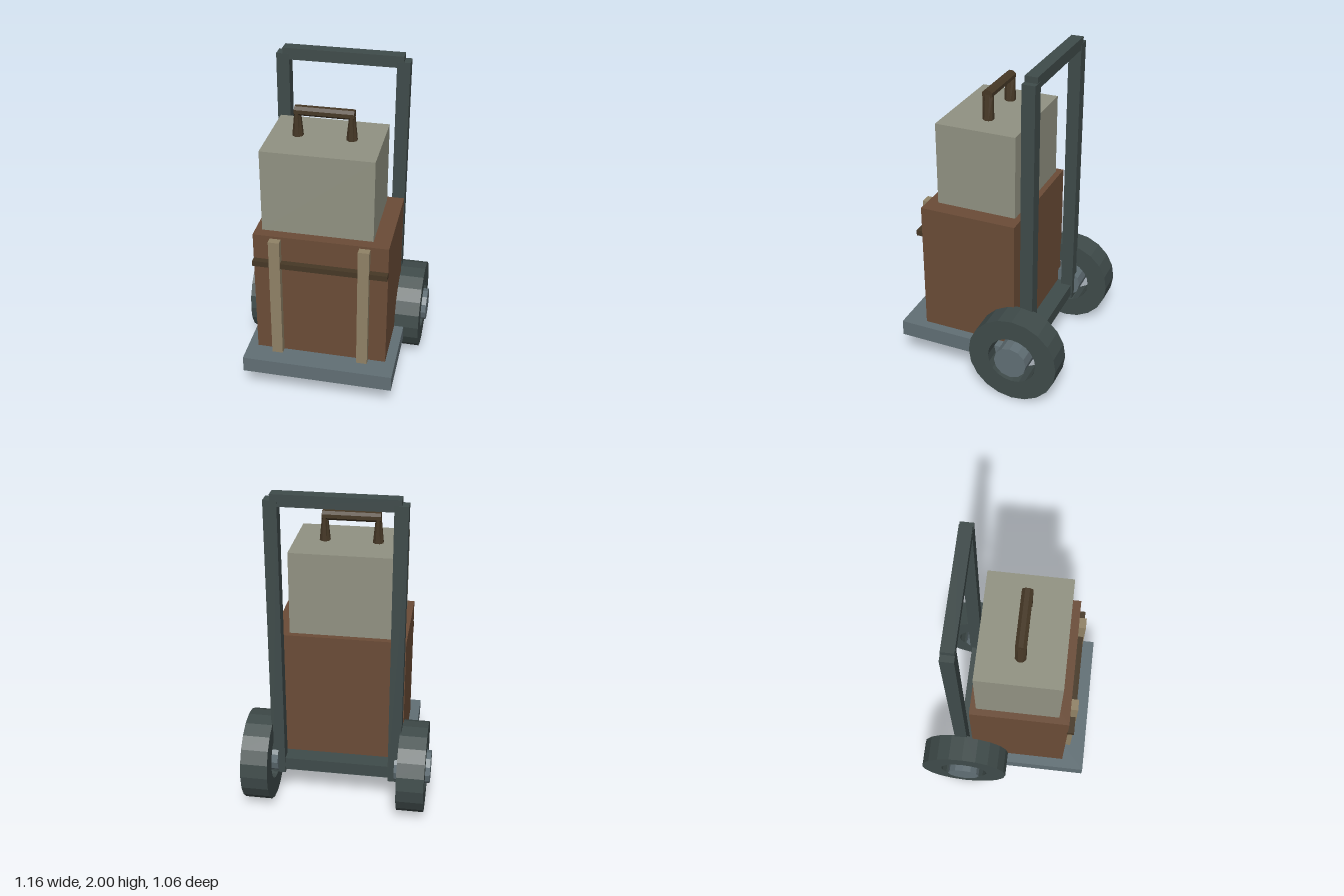
import * as THREE from 'three';

const mat = (name, color) => {
  const m = new THREE.MeshStandardMaterial({ color, flatShading: true });
  m.name = name;
  return m;
};

export function createModel() {
  const model = new THREE.Group();
  model.name = 'handTruck';
  const frame = mat('dark frame', 0x3f4b4a);
  const steel = mat('steel grey', 0x616f75);
  const brown = mat('brown case', 0x6b4c37);
  const cream = mat('pale box', 0x919282);
  const tan = mat('tan strap', 0x908266);
  const dark = mat('dark leather', 0x463826);

  const add = (name, geometry, material) => {
    const mesh = new THREE.Mesh(geometry, material);
    mesh.name = name;
    model.add(mesh);
    return mesh;
  };
  // Box given by its extents on each axis
  const box = (name, material, [x0, x1], [y0, y1], [z0, z1]) => {
    const mesh = add(name, new THREE.BoxGeometry(x1 - x0, y1 - y0, z1 - z0), material);
    mesh.position.set((x0 + x1) / 2, (y0 + y1) / 2, (z0 + z1) / 2);
    return mesh;
  };
  const ring = (r, n) => Array.from({ length: n }, (_, i) => {
    const a = (i / n) * Math.PI * 2;
    return new THREE.Vector2(Math.cos(a) * r, Math.sin(a) * r);
  });

  // Load plate and frame
  box('loadPlate', steel, [-0.46, 0.46], [0.18, 0.28], [-0.27, 0.53]);
  box('topBar', frame, [-0.36, 0.36], [1.93, 2], [-0.318, -0.243]);
  box('lowerBar', frame, [-0.385, 0.385], [0.21, 0.29], [-0.31, -0.2]);

  // Luggage
  box('trunk', brown, [-0.4, 0.4], [0.28, 1.095], [-0.205, 0.39]);
  box('upperBox', cream, [-0.36, 0.3], [1.095, 1.605], [-0.168, 0.327]);
  box('belt', dark, [-0.4, 0.4], [0.9, 0.935], [0.385, 0.428]);
  box('rightStrap', tan, [-0.298, -0.232], [0.28, 1.08], [0.385, 0.434]);
  box('leftStrap', tan, [0.228, 0.294], [0.28, 1.08], [0.385, 0.434]);

  // Carrying handle: octagonal grip on two tapered legs
  const grip = new THREE.CylinderGeometry(0.034, 0.034, 0.346, 8);
  grip.rotateY(Math.PI / 8).rotateZ(Math.PI / 2).scale(1, 0.87, 1);
  add('handleGrip', grip, dark).position.set(-0.037, 1.76, 0.075);
  for (const s of [-1, 1]) {
    const leg = new THREE.CylinderGeometry(0.034, 0.034, 0.155, 8);
    leg.rotateY(Math.PI / 8);
    const p = leg.attributes.position;
    for (let i = 0; i < p.count; i++) if (p.getY(i) > 0) p.setX(i, p.getX(i) * 0.5);
    add('handleLeg', leg, dark).position.set(-0.037 + s * 0.158, 1.68, 0.075);
  }

  // Mirrored posts, open-centred wheels and hubs
  const tyre = new THREE.Shape(ring(0.279, 20));
  tyre.holes.push(new THREE.Path(ring(0.152, 20).reverse()));
  for (const s of [-1, 1]) {
    const inner = s * 0.32, outer = s * 0.398;
    box('post', frame, [Math.min(inner, outer), Math.max(inner, outer)], [0.19, 1.965], [-0.32, -0.242]);

    const wheel = new THREE.ExtrudeGeometry(tyre, { depth: 0.165, bevelEnabled: false });
    wheel.translate(0, 0, -0.0825).rotateY(Math.PI / 2);
    add('wheel', wheel, frame).position.set(s * 0.471, 0.279, -0.254);

    const hub = new THREE.CylinderGeometry(0.102, 0.102, 0.22, 12);
    hub.rotateZ(Math.PI / 2);
    add('hub', hub, steel).position.set(s * 0.47, 0.28, -0.254);
  }
  return model;
}
